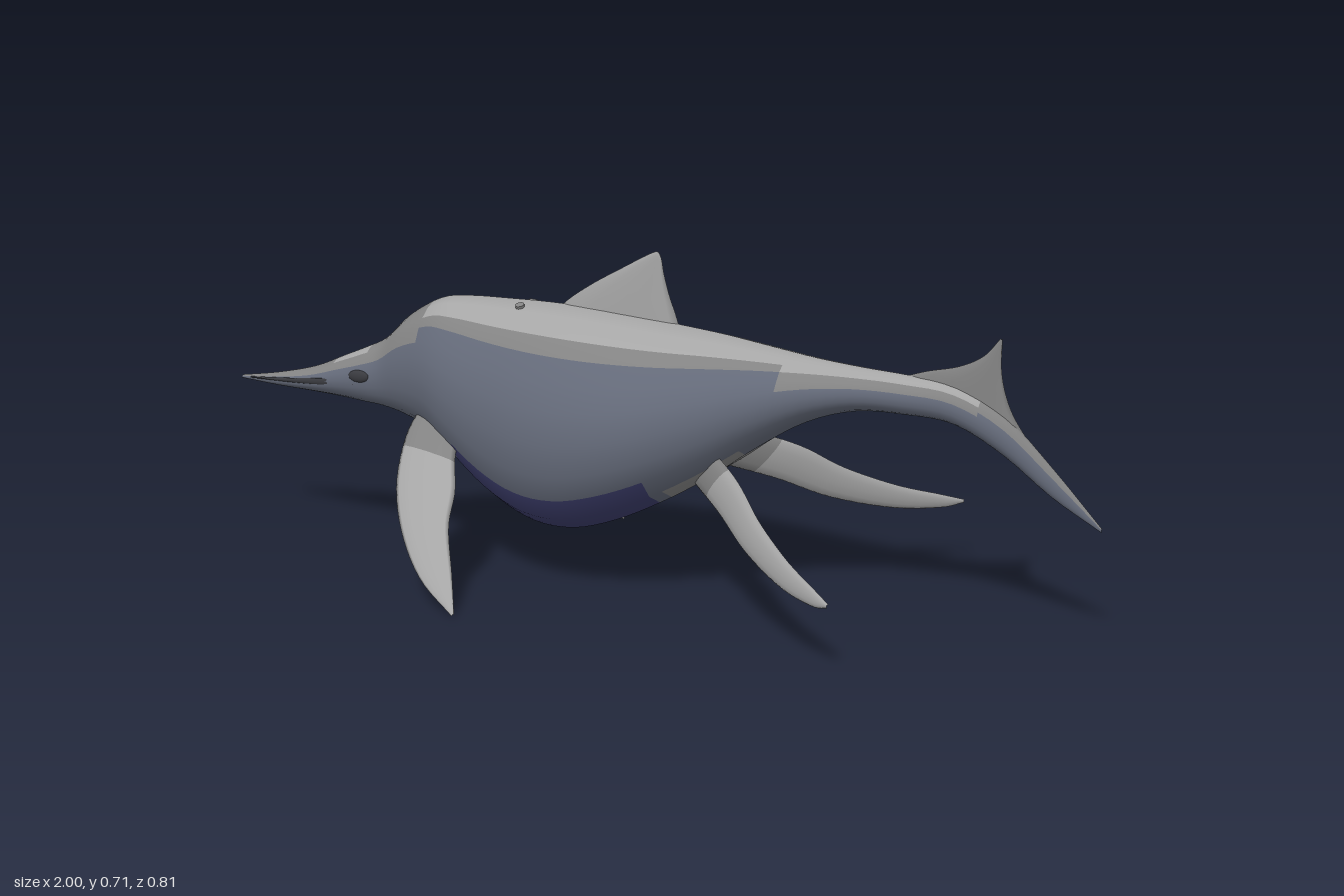
import * as THREE from 'three';

const mat = (name, color, side = THREE.FrontSide) => {
  const m = new THREE.MeshStandardMaterial({ color, side });
  m.name = name;
  return m;
};

// Closed rings joined into a smooth skin; pick(i, j) gives the material index of each quad
function loft(rings, pick) {
  const n = rings[0].length, lists = [];
  const pos = rings.flat().flatMap(p => [p.x, p.y, p.z]);
  const tris = [];
  for (let i = 0; i < rings.length - 1; i++)
    for (let j = 0; j < n; j++) {
      const a = i * n + j, b = i * n + (j + 1) % n, c = a + n, d = b + n;
      tris.push([pick(i, j), a, b, c], [pick(i, j), b, d, c]);
    }
  // Turn the faces outward whichever way the rings run
  const flat = rings.flat();
  const volume = tris.reduce((s, [, a, b, c]) =>
    s + flat[a].dot(new THREE.Vector3().crossVectors(flat[b], flat[c])), 0);
  for (const [m, a, b, c] of tris)
    (lists[m] ??= []).push(...(volume > 0 ? [a, b, c] : [a, c, b]));
  const geo = new THREE.BufferGeometry();
  geo.setAttribute('position', new THREE.Float32BufferAttribute(pos, 3));
  const index = [];
  lists.forEach((list, m) => {
    geo.addGroup(index.length, list.length, m);
    for (const v of list) index.push(v);
  });
  geo.setIndex(index);
  geo.computeVertexNormals();
  return geo;
}

const spline = pts => new THREE.CatmullRomCurve3(pts, false, 'catmullrom', 0.5);

// Lens-section blade: rows of [leadX, leadY, trailX, trailY] from root to tip, z from a rule
function blade(rows, zAt, normal, thick, rootShare = 0) {
  const point = (x, y) => new THREE.Vector3(x, y, zAt(x, y));
  const lead = spline(rows.map(r => point(r[0], r[1])));
  const trail = spline(rows.map(r => point(r[2], r[3])));
  const steps = rows.length * 4, n = 12, rings = [];
  for (let i = 0; i <= steps; i++) {
    const t = i / steps, a = lead.getPoint(t), b = trail.getPoint(t);
    const mid = a.clone().add(b).multiplyScalar(0.5), half = a.sub(b).multiplyScalar(0.5);
    const depth = thick * (1 - 0.75 * t * t);
    rings.push(Array.from({ length: n }, (_, k) => {
      const q = k / n * Math.PI * 2;
      return mid.clone().addScaledVector(half, Math.cos(q)).addScaledVector(normal, Math.sin(q) * depth);
    }));
  }
  return loft(rings, i => (i < steps * rootShare ? 1 : 0));
}

// Body stations: x, top, bottom, half width
const stations = [
  [-1, 0.352, 0.345, 0.006], [-0.9, 0.368, 0.34, 0.022], [-0.8, 0.392, 0.338, 0.04],
  [-0.72, 0.425, 0.335, 0.053], [-0.66, 0.45, 0.33, 0.056], [-0.61, 0.475, 0.325, 0.054],
  [-0.55, 0.53, 0.315, 0.075], [-0.47, 0.575, 0.29, 0.11], [-0.4, 0.586, 0.24, 0.14],
  [-0.3, 0.588, 0.17, 0.172], [-0.2, 0.588, 0.132, 0.203], [-0.1, 0.584, 0.13, 0.222],
  [0, 0.576, 0.16, 0.225], [0.1, 0.566, 0.208, 0.208], [0.2, 0.555, 0.268, 0.17],
  [0.3, 0.54, 0.34, 0.125], [0.4, 0.525, 0.4, 0.086], [0.5, 0.515, 0.43, 0.06],
  [0.6, 0.508, 0.432, 0.045], [0.7, 0.495, 0.422, 0.034], [0.8, 0.445, 0.37, 0.024],
  [0.9, 0.35, 0.295, 0.013], [1, 0.243, 0.235, 0.002],
];
// Half cross-section from the ridge to the keel: share of half width, share of height
const section = [[0, 1], [0.25, 0.96], [0.49, 0.89], [0.65, 0.82], [0.8, 0.71], [0.93, 0.6],
  [1, 0.45], [0.97, 0.3], [0.88, 0.18], [0.7, 0.07], [0.45, 0], [0, 0]];

function bodyGeometry() {
  const outline = spline(stations.map(s => new THREE.Vector3(s[0], s[1], s[2])));
  const width = spline(stations.map(s => new THREE.Vector3(s[0], s[3], 0)));
  const ringShape = [...section, ...section.slice(1, -1).reverse().map(([w, v]) => [-w, v])];
  const steps = (stations.length - 1) * 4, xs = [], rings = [];
  for (let i = 0; i <= steps; i++) {
    const o = outline.getPoint(i / steps), w = width.getPoint(i / steps).y;
    xs.push(o.x);
    rings.push(ringShape.map(([a, v]) => new THREE.Vector3(o.x, o.z + (o.y - o.z) * v, a * w)));
  }
  // Colour bands: 0 back, 1 border, 2 flank, 3 belly
  return loft(rings, (i, j) => {
    const h = j < section.length - 1 ? j : ringShape.length - 1 - j, x = xs[i];
    if (x > 0.12 && x < 0.26 && h >= 9) return 1;
    if (x > -0.38 && x < 0.1 && h >= 8) return 3;
    if (x < -0.5) return h < 2 && x > -0.75 && x < -0.65 ? 0 : h < 4 ? 1 : 2;
    if (x > 0.75) return h < 4 ? 1 : 2;
    const light = x > 0.35 ? 3 : 2;
    return h < light ? 0 : h < light + (x > 0.35 ? 2 : 1) ? 1 : 2;
  });
}

export function createModel() {
  const back = mat('light grey', 0xa6a6a6), border = mat('mid grey', 0x838383);
  const flank = mat('slate blue', 0x646a79), belly = mat('navy', 0x3c3d6b);
  const dark = mat('charcoal', 0x3a3b40);
  const model = new THREE.Group();
  const add = (name, geo, material, parent = model) => {
    const mesh = new THREE.Mesh(geo, material);
    mesh.name = name;
    parent.add(mesh);
    return mesh;
  };
  const zAxis = new THREE.Vector3(0, 0, 1);

  add('body', bodyGeometry(), [back, border, flank, belly]);

  // Upright fins on the midline
  add('dorsalFin', blade([
    [-0.2, 0.56, 0.105, 0.54], [-0.16, 0.597, 0.09, 0.585], [-0.1, 0.637, 0.075, 0.625],
    [-0.03, 0.676, 0.063, 0.668], [0.025, 0.706, 0.057, 0.7], [0.046, 0.715, 0.05, 0.714],
  ], () => 0, zAxis, 0.007), [back, border]);
  add('tailFin', blade([
    [0.55, 0.49, 0.87, 0.37], [0.63, 0.518, 0.82, 0.44], [0.7, 0.535, 0.798, 0.49],
    [0.75, 0.56, 0.788, 0.54], [0.783, 0.598, 0.788, 0.598],
  ], () => 0, zAxis, 0.008), [border, border]);

  for (const [label, s] of [['left', -1], ['right', 1]]) {
    const side = new THREE.Group();
    side.name = label === 'left' ? 'backSideParts' : 'frontSideParts';
    model.add(side);

    // Front flipper sweeps down, out and back
    add('frontFlipper', blade([
      [-0.49, 0.35, -0.37, 0.34], [-0.5, 0.29, -0.365, 0.27], [-0.475, 0.205, -0.33, 0.205],
      [-0.415, 0.125, -0.312, 0.145], [-0.33, 0.055, -0.262, 0.07], [-0.225, 0.004, -0.222, 0.008],
    ], (x, y) => s * (0.4 - y), new THREE.Vector3(0, 0.707, s * 0.707), 0.012, 0.25), [back, border]);

    // Rear flipper is longer and trails behind
    add('rearFlipper', blade([
      [0.19, 0.33, 0.14, 0.27], [0.24, 0.323, 0.18, 0.252], [0.31, 0.29, 0.26, 0.218],
      [0.38, 0.238, 0.35, 0.17], [0.47, 0.192, 0.46, 0.138], [0.55, 0.165, 0.55, 0.133],
      [0.593, 0.15, 0.592, 0.143],
    ], (x, y) => s * (0.4 - 0.7 * (0.59 - x) - 0.25 * (y - 0.15)),
    new THREE.Vector3(-0.56, 0.2, s * 0.8), 0.013, 0.25), [back, border]);

    // Mouth line and eye
    add('mouthLine', blade([
      [-0.97, 0.353, -0.97, 0.35], [-0.85, 0.365, -0.85, 0.355],
      [-0.75, 0.377, -0.75, 0.362], [-0.67, 0.38, -0.67, 0.37],
    ], x => s * (0.007 + Math.min(x + 1, 0.3) * 0.157), zAxis, 0.004), [dark, dark]);
    const eye = add('eye', new THREE.SphereGeometry(0.02, 16, 10), dark, side);
    eye.scale.set(1.3, 0.7, 0.4);
    eye.position.set(-0.655, 0.392, s * 0.052);

    // Small spot on the back
    const spot = add('backSpot', new THREE.CylinderGeometry(0.01, 0.01, 0.008, 10), border, side);
    spot.position.set(-0.26, 0.579, s * 0.03);
    spot.rotation.x = s * 0.35;
  }
  return model;
}
